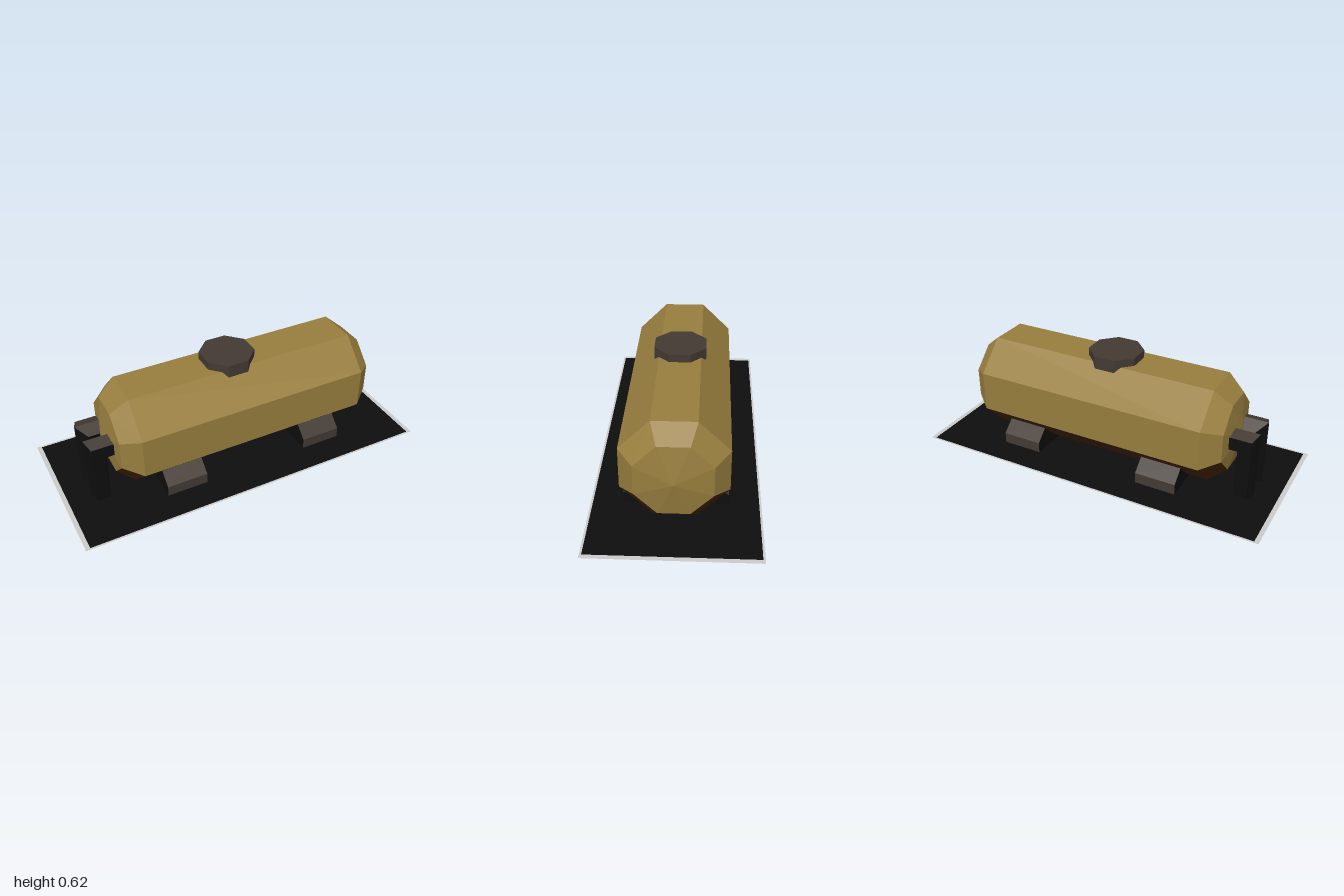
import * as THREE from 'three';

const mat = (name, color, side = THREE.FrontSide) => {
  const m = new THREE.MeshStandardMaterial({ color, side, flatShading: true });
  m.name = name;
  return m;
};

// Joins rings of points into quads; pick(i, j) chooses the material index of each quad.
function loft(rings, pick) {
  const buckets = [[], []];
  const n = rings[0].length;
  for (let i = 0; i < rings.length - 1; i++) {
    for (let j = 0; j < n; j++) {
      const k = (j + 1) % n;
      const a = rings[i][j], b = rings[i][k], c = rings[i + 1][k], d = rings[i + 1][j];
      buckets[pick(i, j)].push(...a, ...b, ...c, ...a, ...c, ...d);
    }
  }
  const geo = new THREE.BufferGeometry();
  geo.setAttribute('position', new THREE.Float32BufferAttribute(buckets.flat(), 3));
  const first = buckets[0].length / 3;
  geo.addGroup(0, first, 0);
  geo.addGroup(first, buckets[1].length / 3, 1);
  geo.computeVertexNormals();
  return geo;
}

export function createModel() {
  const model = new THREE.Group();
  model.name = 'storageTank';
  const tan = mat('tankTan', 0x987e3e);
  const rust = mat('rustBrown', 0x45240c);
  const grey = mat('warmGrey', 0x433a33);
  const black = mat('black', 0x0e0e0e, THREE.DoubleSide);
  const pale = mat('paleBorder', 0xcccccc, THREE.DoubleSide);
  const add = (name, geo, material) => {
    const mesh = new THREE.Mesh(geo, material);
    mesh.name = name;
    model.add(mesh);
    return mesh;
  };

  // Ground slab: dark sheet inside a thin pale border
  const rect = (T, x, z) => new T([[-x, -z], [x, -z], [x, z], [-x, z]].map(p => new THREE.Vector2(...p)));
  const border = rect(THREE.Shape, 1, 0.435);
  border.holes.push(rect(THREE.Path, 0.975, 0.424));
  add('baseBorder', new THREE.ShapeGeometry(border).rotateX(-Math.PI / 2), pale);
  add('baseSheet', new THREE.PlaneGeometry(1.95, 0.848).rotateX(-Math.PI / 2), black);

  // Octagonal tank with bevelled, shallow-pointed ends; the three lower sides are rusty
  const profile = [[-0.785, 0], [-0.75, 0.208], [-0.655, 0.292], [0.655, 0.292], [0.75, 0.208], [0.785, 0]];
  const rings = profile.map(([x, r]) => Array.from({ length: 8 }, (_, j) => {
    const a = (j + 0.5) * Math.PI / 4;
    return [x + 0.05, 0.306 + r * Math.cos(a), -r * Math.sin(a)];
  }));
  const isLower = (i, j) => (i > 0 && i < 4 && j >= 2 && j <= 4 ? 1 : 0);
  // sides run j = 0 (upper back) round to j = 7 (top)
  add('tank', loft(rings.map(r => r.slice().reverse()), (i, j) => isLower(i, (14 - j) % 8)), [tan, rust]);

  // Hatch on top
  const hatch = new THREE.CylinderGeometry(0.149, 0.149, 0.075, 8);
  add('hatch', hatch.rotateY(Math.PI / 8).translate(0, 0.5825, 0), grey);

  // Saddle supports: grey outer faces, black ends
  const saddle = new THREE.Shape([[-0.268, 0], [0.268, 0], [0.268, 0.06], [0.197, 0.125],
    [0.11, 0.045], [-0.11, 0.045], [-0.197, 0.125], [-0.268, 0.06]].map(p => new THREE.Vector2(...p)));
  for (const x of [-0.37, 0.47]) {
    const geo = new THREE.ExtrudeGeometry(saddle, { depth: 0.23, bevelEnabled: false });
    geo.translate(0, 0, -0.115).rotateY(Math.PI / 2).translate(x, 0, 0);
    add('saddleSupport', geo, [black, grey]);
  }

  // Pair of five-sided elbow pipes at the -x end, mitred at the corner
  const cx = -0.795, cy = 0.31, r = 0.06;
  for (const side of [1, -1]) {
    const pts = Array.from({ length: 5 }, (_, j) => {
      const a = j * Math.PI * 2 / 5;
      return [r * Math.sin(a), side * (0.083 - r * Math.cos(a))];
    });
    if (side < 0) pts.reverse();
    const path = [
      pts.map(([u, z]) => [cx + u, 0, z]),
      pts.map(([u, z]) => [cx + u, cy - u, z]),
      pts.map(([u, z]) => [-0.66, cy - u, z]),
    ];
    // upward-facing sides of the arm are grey
    const up = (i, j) => (i === 1 && pts[j][0] + pts[(j + 1) % 5][0] < -0.02 ? 1 : 0);
    add(side > 0 ? 'frontPipe' : 'backPipe', loft(path, up), [black, mat2(grey)]);
  }

  // Pipe tops share the grey of the hatch
  function mat2(m) {
    m.side = THREE.DoubleSide;
    return m;
  }
  return model;
}
